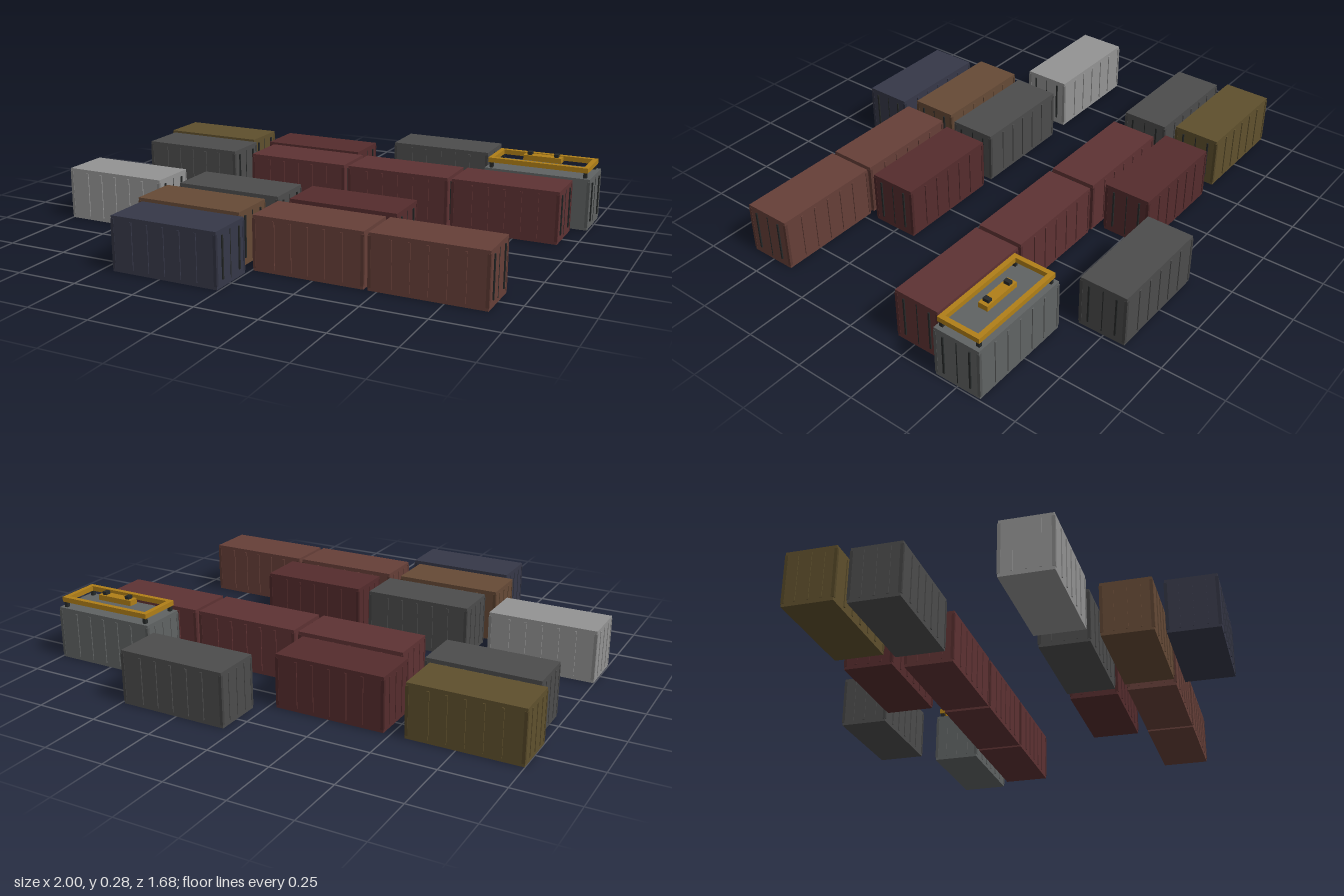
import * as THREE from 'three';

const L = 0.442, H = 0.215, W = 0.195; // container length, height, width

const paint = (color) => new THREE.MeshStandardMaterial({ color });
const dark = paint(0x262929);
const yellow = paint(0xb07f18);

function box(parent, name, size, pos, material) {
  const mesh = new THREE.Mesh(new THREE.BoxGeometry(...size), material);
  mesh.name = name;
  mesh.position.set(...pos);
  parent.add(mesh);
  return mesh;
}

function container(color) {
  const group = new THREE.Group();
  group.name = 'container';
  const mat = paint(color);
  const shade = paint(new THREE.Color(color).multiplyScalar(0.75));
  box(group, 'containerBody', [L, H, W], [0, H / 2, 0], mat);

  // Corner posts, slightly proud of the walls
  for (const sx of [-1, 1]) {
    for (const sz of [-1, 1]) {
      box(group, 'cornerPost', [0.012, H - 0.024, 0.012],
        [sx * (L / 2 - 0.005), H / 2, sz * (W / 2 - 0.004)], shade);
    }
  }

  // Vertical ribs on both long walls
  for (const sz of [-1, 1]) {
    for (let i = -2; i <= 2; i++) {
      box(group, 'sideRib', [0.009, H - 0.03, 0.008], [i * 0.068, H / 2, sz * W / 2], mat);
    }
  }

  // Ribs on the closed end
  for (const i of [-1, 0, 1]) {
    box(group, 'endRib', [0.005, H - 0.03, 0.008], [-L / 2, H / 2, i * 0.05], mat);
  }

  // Door end: centre seam and two locking bars
  box(group, 'doorSeam', [0.002, H - 0.03, 0.004], [L / 2, H / 2, 0], dark);
  for (const sz of [-1, 1]) {
    box(group, 'doorBar', [0.008, 0.165, 0.007], [L / 2 + 0.001, H / 2 + 0.004, sz * 0.058], dark);
  }
  return group;
}

// Lifting frame that sits on top of one container
function spreader() {
  const group = new THREE.Group();
  group.name = 'liftingFrame';
  const y = 0.248, t = 0.02, lx = 0.418, lz = 0.18;
  for (const s of [-1, 1]) {
    box(group, 'frameLongBeam', [lx, t, t], [0, y, s * (lz - t) / 2], yellow);
    box(group, 'frameCrossBeam', [t, t, lz - 2 * t], [s * (lx - t) / 2, y, 0], yellow);
    for (const sz of [-1, 1]) {
      box(group, 'frameLock', [0.014, 0.026, 0.014], [s * 0.197, 0.226, sz * 0.079], dark);
    }
    box(group, 'headblockLug', [0.018, 0.018, 0.025], [s * 0.056, 0.272, 0], dark);
  }
  box(group, 'headblock', [0.16, 0.022, 0.04], [0, 0.257, 0], yellow);
  return group;
}

export function createModel() {
  const model = new THREE.Group();
  model.name = 'containerYard';

  // Each container: x, z, colour
  const yard = [
    [0.265, -0.74, 0x4c4c4c],
    [-0.778, -0.5, 0x5f502d],
    [-0.252, -0.5, 0x552c2d],
    [0.772, -0.5, 0x606363],
    [-0.745, -0.27, 0x4c4c4c],
    [-0.213, -0.27, 0x5e3233],
    [0.25, -0.27, 0x5e3233],
    [0.71, -0.27, 0x5e3233],
    [-0.776, 0.272, 0x939393],
    [-0.24, 0.265, 0x4c4c4c],
    [0.253, 0.265, 0x552c2d],
    [-0.27, 0.505, 0x664a36],
    [0.228, 0.505, 0x663f38],
    [0.687, 0.505, 0x663f38],
    [-0.229, 0.737, 0x363848],
  ];
  for (const [x, z, color] of yard) {
    const unit = container(color);
    unit.position.set(x, 0, z);
    model.add(unit);
  }

  const frame = spreader();
  frame.position.set(0.772, 0, -0.5);
  model.add(frame);
  return model;
}
